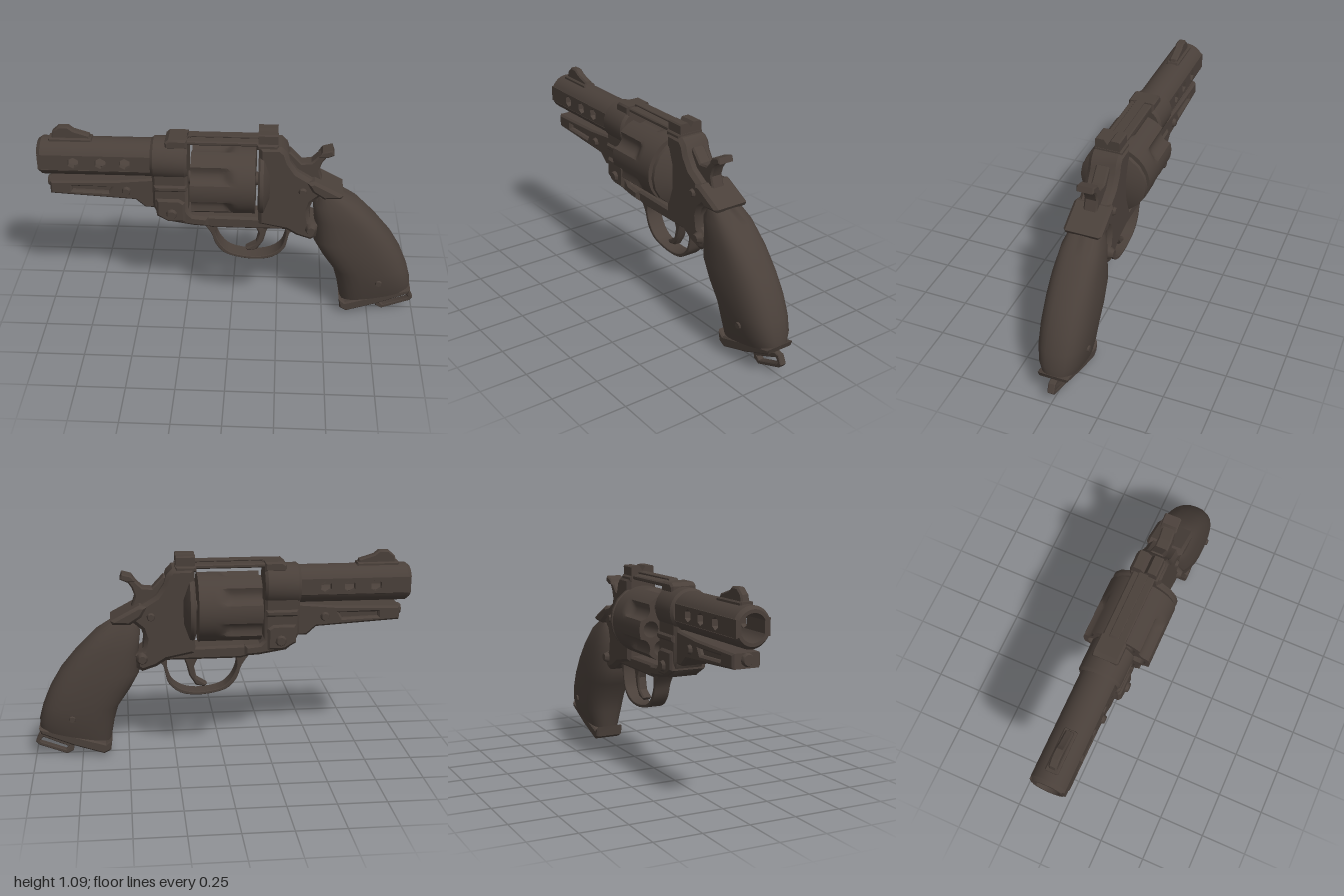
import * as THREE from 'three';
import { toCreasedNormals } from 'three/addons/utils/BufferGeometryUtils.js';

const metal = new THREE.MeshStandardMaterial({ color: 0x4a403a, side: THREE.DoubleSide });
metal.name = 'dark brown metal';

export function createModel() {
  const model = new THREE.Group();
  const AXIS = 0.805, BORE = 0.92;

  const add = (name, geo, x = 0, y = 0, z = 0, crease = 0.6) => {
    const mesh = new THREE.Mesh(toCreasedNormals(geo, crease), metal);
    mesh.name = name;
    mesh.position.set(x, y, z);
    model.add(mesh);
    return mesh;
  };
  const toShape = (pts, holes = []) => {
    const s = new THREE.Shape(pts.map(p => new THREE.Vector2(...p)));
    holes.forEach(h => s.holes.push(new THREE.Path(h.map(p => new THREE.Vector2(...p)))));
    return s;
  };
  // Side outline (x, y) given a thickness of z0..z1 with chamfered edges
  const plate = (name, pts, z0, z1, bevel = 0.012, holes = []) => {
    const geo = new THREE.ExtrudeGeometry(toShape(pts, holes), {
      depth: z1 - z0 - 2 * bevel, bevelEnabled: bevel > 0, bevelSize: bevel,
      bevelThickness: bevel, bevelOffset: -bevel, bevelSegments: 1, curveSegments: 8,
    });
    return add(name, geo, 0, 0, z0 + bevel);
  };
  const slab = (name, pts, half, bevel, holes) => plate(name, pts, -half, half, bevel, holes);
  const ring = (cx, cy, r, n, a0 = 0) => Array.from({ length: n }, (_, i) => {
    const a = a0 + i / n * Math.PI * 2;
    return [cx + r * Math.cos(a), cy + r * Math.sin(a)];
  });
  const curve = (pts, n) => new THREE.SplineCurve(pts.map(p => new THREE.Vector2(...p)))
    .getPoints(n).map(p => [p.x, p.y]);
  // Turned part about a lengthwise axis; profile is [x, radius]
  const turned = (name, profile, y, segs = 24, start = 0, length = Math.PI * 2) =>
    add(name, new THREE.LatheGeometry(profile.map(([x, r]) => new THREE.Vector2(r, -x)), segs, start, length)
      .rotateZ(Math.PI / 2), 0, y, 0);

  // Barrel: two round arcs joined by flat vented side walls
  const a = Math.asin(0.436);
  for (const half of [0, 1]) {
    turned(half ? 'barrelBottom' : 'barrelTop',
      [[-1, 0.068], [-1, 0.085], [-0.98, 0.1], [-0.4, 0.1], [-0.4, 0.068], [-1, 0.068]],
      BORE, 14, a + half * Math.PI, Math.PI - 2 * a);
  }
  const vents = [-0.81, -0.67, -0.545].map(x => ring(x, BORE, 0.032, 6, Math.PI / 6));
  const wall = [[-0.995, 0.878], [-0.4, 0.878], [-0.4, 0.962], [-0.995, 0.962]];
  plate('barrelWallLeft', wall, 0.061, 0.09, 0, vents);
  plate('barrelWallRight', wall, -0.09, -0.061, 0, vents);
  turned('barrelCollar', [[-0.415, 0], [-0.415, 0.1], [-0.4, 0.112], [-0.24, 0.112], [-0.225, 0.1], [-0.225, 0]], BORE);

  // Front sight on its ramp
  slab('frontSightBase', [[-0.94, 1.0], [-0.94, 1.03], [-0.72, 1.03], [-0.71, 1.0]], 0.034, 0.006);
  slab('frontSight', [[-0.93, 1.01], [-0.92, 1.06], [-0.885, 1.09], [-0.835, 1.09], [-0.81, 1.07],
    [-0.73, 1.045], [-0.72, 1.01]], 0.022, 0.008);

  // Lug below the barrel with a slot in each side, and the rod tip
  const lug = [[-0.945, 0.8], [-0.945, 0.727], [-0.5, 0.7], [-0.45, 0.655], [-0.38, 0.655], [-0.38, 0.83], [-0.6, 0.81]];
  const slot = [[-0.83, 0.748], [-0.64, 0.742], [-0.62, 0.772], [-0.83, 0.772]];
  slab('lugCore', lug, 0.05, 0.01);
  plate('lugSideLeft', lug, 0.03, 0.075, 0.01, [slot]);
  plate('lugSideRight', lug, -0.075, -0.03, 0.01, [slot]);
  turned('rodTip', [[-0.965, 0], [-0.965, 0.026], [-0.955, 0.032], [-0.9, 0.032]], 0.768, 10);

  // Frame: front block, straps and rear body around the cylinder window
  slab('frameFront', [[-0.41, 0.88], [-0.41, 0.67], [-0.38, 0.61], [-0.34, 0.578], [-0.2, 0.555], [-0.12, 0.55],
    [-0.12, 0.607], [-0.2, 0.615], [-0.225, 0.64], [-0.225, 0.88]], 0.088, 0.015);
  slab('framePivot', [[-0.39, 0.62], [-0.33, 0.585], [-0.24, 0.585], [-0.24, 0.7], [-0.27, 0.72], [-0.39, 0.72]], 0.102, 0.012);
  slab('frameStep', [[-0.4, 0.765], [-0.23, 0.765], [-0.23, 0.8], [-0.4, 0.8]], 0.1, 0.01);
  slab('lowerStrap', [[-0.22, 0.565], [-0.1, 0.535], [0.3, 0.535], [0.3, 0.6], [-0.2, 0.608]], 0.07, 0.012);
  slab('topStrap', [[-0.27, 1.022], [0.2, 1.022], [0.2, 1.045], [-0.27, 1.045]], 0.06, 0.006);
  slab('topStrapFront', [[-0.34, 1.0], [-0.225, 1.0], [-0.225, 1.052], [-0.32, 1.052], [-0.34, 1.035]], 0.07, 0.01);
  slab('sightRib', [[-0.24, 1.04], [-0.2, 1.052], [0.14, 1.05], [0.14, 1.062], [-0.22, 1.062]], 0.025, 0.003);
  slab('frameRear', [[0.14, 1.03], [0.255, 1.03], [0.285, 1.0], [0.3, 0.95], [0.34, 0.89], [0.42, 0.84], [0.53, 0.79],
    [0.55, 0.755], [0.46, 0.745], [0.42, 0.71], [0.405, 0.66], [0.415, 0.6], [0.46, 0.57], [0.45, 0.5], [0.42, 0.48],
    [0.345, 0.505], [0.29, 0.54], [0.14, 0.57]], 0.085, 0.02);
  turned('recoilShield', [[0.14, 0], [0.14, 0.17], [0.15, 0.18], [0.168, 0.178], [0.2, 0.105], [0.2, 0]], AXIS, 18);
  slab('gripCollar', [[0.39, 0.835], [0.43, 0.845], [0.58, 0.765], [0.57, 0.745], [0.48, 0.74], [0.42, 0.78]], 0.1, 0.015);

  // Rear sight with a notched blade
  const notch = new THREE.ExtrudeGeometry(toShape([[-0.065, 1.03], [0.065, 1.03], [0.065, 1.085], [0.058, 1.092],
    [0.018, 1.092], [0, 1.065], [-0.018, 1.092], [-0.058, 1.092], [-0.065, 1.085]]), { depth: 0.1, bevelEnabled: false });
  add('rearSight', notch.rotateY(Math.PI / 2), 0.137, 0, 0);
  slab('rearSightBase', [[0.13, 1.01], [0.24, 1.01], [0.24, 1.04], [0.13, 1.04]], 0.075, 0.008);

  // Fluted cylinder with six chambers open at the front
  const R = 0.182, L = 0.33, CX = -0.04;
  const radius = (t, y) => R - 0.032 * Math.sqrt(Math.max(0, -Math.cos(6 * t)))
    * THREE.MathUtils.smoothstep(y, -0.06, 0.0);
  const drum = new THREE.CylinderGeometry(R, R, L, 72, 16, true);
  const p = drum.attributes.position;
  for (let i = 0; i < p.count; i++) {
    const t = Math.atan2(p.getX(i), p.getZ(i)), r = radius(t, p.getY(i));
    p.setX(i, r * Math.sin(t));
    p.setZ(i, r * Math.cos(t));
  }
  add('cylinderWall', drum.rotateZ(Math.PI / 2), CX, AXIS, 0);
  const chambers = ring(0, 0, 0.118, 6);
  const rim = ring(0, 0, 1, 72).map(([c, s]) => {
    const r = radius(Math.atan2(s, c), L / 2);
    return [c * r, s * r];
  });
  const face = new THREE.ShapeGeometry(toShape(rim, chambers.map(([x, y]) => ring(x, y, 0.042, 14))));
  add('cylinderFront', face.rotateY(-Math.PI / 2), CX - L / 2, AXIS, 0);
  add('cylinderBack', new THREE.CircleGeometry(R, 72).rotateY(Math.PI / 2), CX + L / 2, AXIS, 0);
  chambers.forEach(([z, y], i) => add('chamber' + (i + 1),
    new THREE.CylinderGeometry(0.042, 0.042, L, 14, 1, true).rotateZ(Math.PI / 2), CX, AXIS + y, z));
  turned('cylinderPin', [[-0.24, 0.035], [0.15, 0.035]], AXIS, 12);

  // Hammer
  slab('hammer', [[0.27, 0.97], [0.3, 0.985], [0.36, 0.92], [0.41, 0.925], [0.44, 0.955], [0.465, 0.985], [0.515, 1.0],
    [0.525, 0.972], [0.49, 0.96], [0.465, 0.925], [0.45, 0.88], [0.47, 0.82], [0.35, 0.82]], 0.036, 0.008);
  slab('hammerSpur', [[0.445, 0.958], [0.465, 0.988], [0.515, 1.002], [0.525, 0.972], [0.49, 0.957]], 0.045, 0.006);

  // Trigger and its guard
  slab('trigger', [[0.11, 0.56], [0.145, 0.48], [0.13, 0.415], [0.075, 0.38], [0.09, 0.365], [0.135, 0.375],
    [0.17, 0.43], [0.185, 0.49], [0.21, 0.56]], 0.026, 0.008);
  const outer = curve([[-0.16, 0.56], [-0.11, 0.49], [-0.085, 0.42], [-0.04, 0.365], [0.03, 0.338], [0.13, 0.327],
    [0.22, 0.343], [0.28, 0.395], [0.298, 0.45], [0.31, 0.5], [0.345, 0.53]], 30);
  const inner = curve([[0.285, 0.55], [0.29, 0.5], [0.282, 0.45], [0.262, 0.4], [0.21, 0.36], [0.13, 0.343],
    [0.03, 0.355], [-0.025, 0.38], [-0.065, 0.43], [-0.085, 0.49], [-0.075, 0.55]], 30);
  slab('triggerGuard', [...outer, ...inner], 0.045, 0.003);

  // Grip lofted through rounded sections: front point, back point, half width
  const sections = [
    [0.45, 0.73, 0.56, 0.757, 0.08], [0.425, 0.685, 0.665, 0.69, 0.103], [0.435, 0.6, 0.77, 0.585, 0.117],
    [0.435, 0.465, 0.85, 0.49, 0.126], [0.485, 0.375, 0.91, 0.39, 0.128], [0.55, 0.28, 0.95, 0.295, 0.124],
    [0.575, 0.19, 0.972, 0.215, 0.115], [0.595, 0.085, 0.973, 0.165, 0.095]];
  const N = 28, verts = [], index = [];
  const pow = v => Math.sign(v) * Math.abs(v) ** 0.75;
  for (const [fx, fy, bx, by, w] of sections) {
    for (let i = 0; i < N; i++) {
      const t = i / N * Math.PI * 2, k = (1 + pow(Math.cos(t))) / 2;
      verts.push(fx + (bx - fx) * k, fy + (by - fy) * k, w * pow(Math.sin(t)));
    }
  }
  for (let s = 0; s < sections.length - 1; s++) {
    for (let i = 0; i < N; i++) {
      const b = s * N + i, c = s * N + (i + 1) % N;
      index.push(b, c, b + N, c, c + N, b + N);
    }
  }
  const last = (sections.length - 1) * N;
  for (let i = 1; i < N - 1; i++) index.push(0, i + 1, i, last, last + i, last + i + 1);
  const grip = new THREE.BufferGeometry();
  grip.setAttribute('position', new THREE.Float32BufferAttribute(verts, 3));
  grip.setIndex(index);
  add('grip', grip, 0, 0, 0, 0.9);

  // Butt cap and lanyard loop
  slab('buttCap', [[0.59, 0.1], [0.598, 0.04], [0.635, 0.02], [0.8, 0.075], [0.965, 0.145], [0.975, 0.175], [0.8, 0.13], [0.625, 0.075]],
    0.08, 0.008);
  slab('lanyardLoop', [[0.795, 0.055], [0.8, 0.02], [0.835, 0.002], [0.985, 0.06], [1.0, 0.08], [0.98, 0.125], [0.95, 0.13]],
    0.018, 0.004, [[[0.822, 0.043], [0.84, 0.025], [0.97, 0.075], [0.977, 0.085], [0.96, 0.105]]]);

  // Screws, a domed head on each side
  const screws = [['lug', -0.545, 0.755, 0.03, 0.092], ['pivot', -0.31, 0.635, 0.037, 0.118], ['frame', 0.37, 0.78, 0.028, 0.1],
    ['gripTop', 0.42, 0.553, 0.034, 0.108], ['gripBottom', 0.795, 0.24, 0.025, 0.128]];
  for (const [name, x, y, r, z] of screws) {
    for (const side of [1, -1]) {
      const head = new THREE.CylinderGeometry(r * 0.6, r, 0.03, 10).rotateX(side * Math.PI / 2);
      add(name + (side > 0 ? 'ScrewLeft' : 'ScrewRight'), head, x, y, side * (z - 0.015));
    }
  }
  return model;
}
